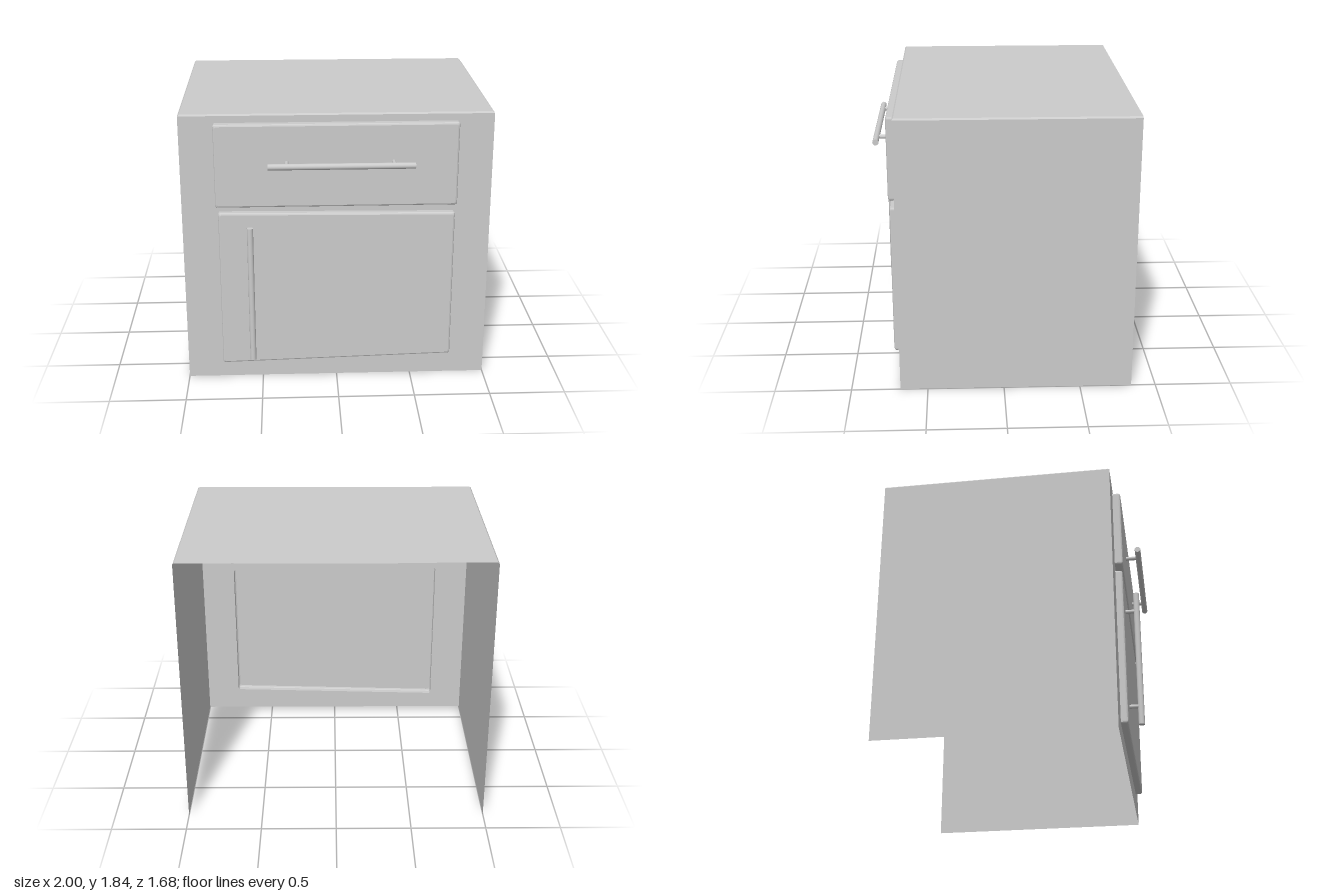
import * as THREE from 'three';

const material = new THREE.MeshStandardMaterial({ color: 0xcccccc, side: THREE.DoubleSide });
const FRONT = 0.68, BACK = -0.84, TOP = 1.84, BEVEL = 0.01;

function addMesh(parent, name, geometry) {
  const mesh = new THREE.Mesh(geometry, material);
  mesh.name = name;
  parent.add(mesh);
  return mesh;
}

// Flat sheet from four corners, counter-clockwise seen from outside
function sheet(...corners) {
  const g = new THREE.BufferGeometry();
  const order = [0, 1, 2, 0, 2, 3];
  g.setAttribute('position', new THREE.Float32BufferAttribute(order.flatMap(i => corners[i]), 3));
  g.computeVertexNormals();
  return g;
}

// Quad outline with small rounded corners, pulled in by an inset
function outline(corners, inset) {
  const centre = corners.reduce((a, c) => a.add(new THREE.Vector2(...c)), new THREE.Vector2()).divideScalar(4);
  const pts = corners.map(([x, y]) => new THREE.Vector2(
    x - Math.sign(x - centre.x) * inset, y - Math.sign(y - centre.y) * inset));
  const points = [];
  pts.forEach((p, i) => {
    const r = 0.015;
    const before = pts[(i + 3) % 4].clone().sub(p).setLength(r).add(p);
    const after = pts[(i + 1) % 4].clone().sub(p).setLength(r).add(p);
    points.push(...new THREE.QuadraticBezierCurve(before, p, after).getPoints(4));
  });
  return points;
}

// Hollow raised panel: walls, softened rim and a flat face
function addPanel(parent, name, corners, z) {
  const panel = new THREE.Group();
  panel.name = name;
  parent.add(panel);
  const sections = [[0, FRONT], [0, z - 0.012], [0.004, z - 0.004], [0.012, z]];
  const rings = sections.map(([inset, depth]) =>
    outline(corners, inset).map(p => [p.x, p.y, depth]));
  const positions = [];
  for (let s = 0; s < rings.length - 1; s++) {
    const a = rings[s], b = rings[s + 1];
    a.forEach((p, i) => {
      const j = (i + 1) % a.length;
      positions.push(...p, ...a[j], ...b[j], ...p, ...b[j], ...b[i]);
    });
  }
  const rim = new THREE.BufferGeometry();
  rim.setAttribute('position', new THREE.Float32BufferAttribute(positions, 3));
  rim.computeVertexNormals();
  addMesh(panel, name + 'Rim', rim);
  const face = new THREE.ShapeGeometry(new THREE.Shape(outline(corners, 0.012)));
  addMesh(panel, name + 'Face', face.translate(0, 0, z));
}

// Bar handle on two posts; built along x, optionally turned upright
function addHandle(parent, name, { x, y, z, length, posts, panelZ, upright }) {
  const handle = new THREE.Group();
  handle.name = name;
  handle.position.set(x, y, z);
  if (upright) handle.rotation.z = Math.PI / 2;
  parent.add(handle);
  addMesh(handle, 'handleBar', new THREE.CylinderGeometry(0.02, 0.02, length, 16).rotateZ(Math.PI / 2));
  const reach = z - panelZ;
  for (const offset of posts) {
    const post = addMesh(handle, 'handlePost', new THREE.CylinderGeometry(0.013, 0.013, reach, 12).rotateX(Math.PI / 2));
    post.position.set(offset, 0, -reach / 2);
  }
}

export function createModel() {
  const model = new THREE.Group();
  model.name = 'cabinet';

  const drawer = [[-0.78, 1.235], [0.775, 1.235], [0.775, 1.785], [-0.78, 1.785]];
  const door = [[-0.765, 0.12], [0.765, 0.16], [0.765, 1.18], [-0.765, 1.195]];

  // Front frame with the drawer and door openings
  const y = TOP - BEVEL, inner = 1 - BEVEL, edge = FRONT - BEVEL;
  const frame = new THREE.Shape([[-1, 0], [1, 0], [1, y], [-1, y]].map(p => new THREE.Vector2(...p)));
  frame.holes = [drawer, door].map(c => new THREE.Path(outline(c, 0)));
  addMesh(model, 'frontFrame', new THREE.ShapeGeometry(frame).translate(0, 0, FRONT));

  // Thin top and sides with chamfered upper edges; back and bottom stay open
  addMesh(model, 'top', sheet([-inner, TOP, edge], [inner, TOP, edge], [inner, TOP, BACK], [-inner, TOP, BACK]));
  addMesh(model, 'topFrontEdge', sheet([-1, y, FRONT], [1, y, FRONT], [inner, TOP, edge], [-inner, TOP, edge]));
  for (const s of [1, -1]) {
    const side = [[s, 0, FRONT], [s, 0, BACK], [s, y, BACK], [s, y, FRONT]];
    const bevel = [[s, y, FRONT], [s, y, BACK], [s * inner, TOP, BACK], [s * inner, TOP, edge]];
    if (s < 0) [side, bevel].forEach(c => c.reverse());
    const label = s > 0 ? 'left' : 'right';
    addMesh(model, label + 'Side', sheet(...side));
    addMesh(model, label + 'TopEdge', sheet(...bevel));
  }

  addPanel(model, 'drawerFront', drawer, 0.733);
  addPanel(model, 'door', door, 0.727);

  addHandle(model, 'drawerHandle', { x: 0.025, y: 1.535, z: 0.82, length: 0.93, posts: [-0.345, 0.335], panelZ: 0.733 });
  addHandle(model, 'doorHandle', { x: -0.56, y: 0.653, z: 0.8, length: 0.935, posts: [-0.343, 0.337], panelZ: 0.727, upright: true });

  return model;
}
